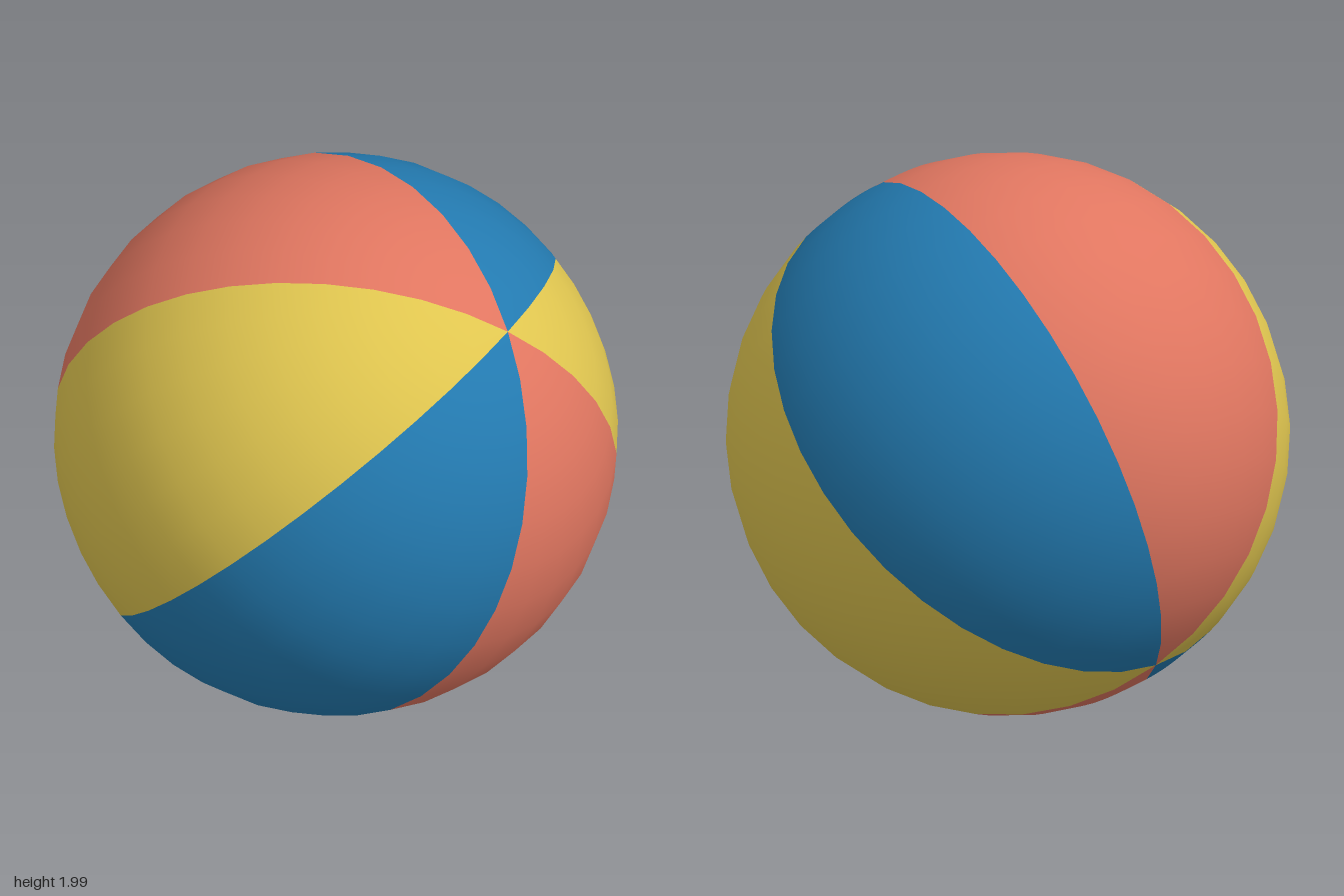
import * as THREE from 'three';

export function createModel() {
  const group = new THREE.Group();
  group.name = 'beachBall';

  const material = (name, color) => {
    const m = new THREE.MeshStandardMaterial({ color });
    m.name = name;
    return m;
  };
  const colours = [
    material('coral', 0xe07660),
    material('yellow', 0xdfc54f),
    material('blue', 0x237ab0),
  ];

  // Tilted axis of the ball, and the seam the panels are counted from
  const axis = new THREE.Vector3(0.46, 0.71, 0.53).normalize();
  const zDir = new THREE.Vector3(0.885, -0.337, -0.319);
  const xDir = new THREE.Vector3().crossVectors(axis, zDir).normalize();
  zDir.crossVectors(xDir, axis);

  const ball = new THREE.Group();
  ball.name = 'ball';
  ball.position.y = 1;
  ball.quaternion.setFromRotationMatrix(new THREE.Matrix4().makeBasis(xDir, axis, zDir));

  // Six equal panels running from pole to pole
  for (let i = 0; i < 6; i++) {
    const wedge = Math.PI / 3;
    const panel = new THREE.Mesh(
      new THREE.SphereGeometry(1, 6, 18, i * wedge, wedge),
      colours[i % 3]
    );
    panel.name = `panel${i + 1}`;
    ball.add(panel);
  }

  group.add(ball);
  return group;
}
